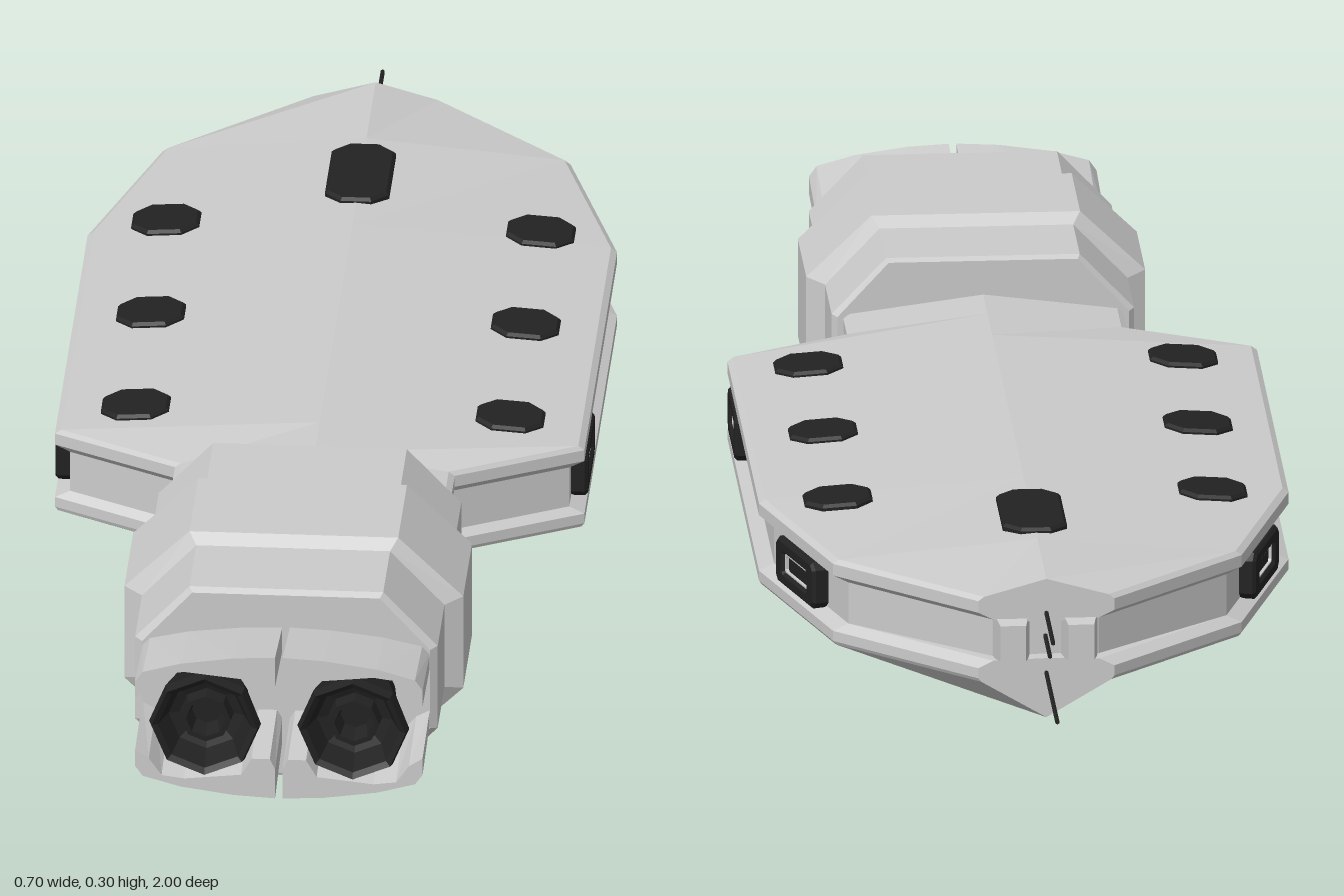
import * as THREE from 'three';

const grey = new THREE.MeshStandardMaterial({ color: 0xcccccc, flatShading: true, side: THREE.DoubleSide });
const black = new THREE.MeshStandardMaterial({ color: 0x222222, flatShading: true, side: THREE.DoubleSide });

function add(parent, name, geometry, material = grey) {
  const mesh = new THREE.Mesh(geometry, material);
  mesh.name = name;
  parent.add(mesh);
  return mesh;
}

// Skin a row of counter-clockwise rings [{ z, ring: [[x, y], ...] }] and cap both ends.
function loft(sections) {
  const n = sections[0].ring.length, pos = [], idx = [];
  for (const { z, ring } of sections) for (const [x, y] of ring) pos.push(x, y, z);
  for (let s = 0; s < sections.length - 1; s++)
    for (let i = 0; i < n; i++) {
      const a = s * n + i, b = s * n + (i + 1) % n;
      idx.push(a, b, b + n, a, b + n, a + n);
    }
  const last = (sections.length - 1) * n;
  const cap = (ring) => THREE.ShapeUtils.triangulateShape(ring.map(p => new THREE.Vector2(...p)), []);
  for (const [a, b, c] of cap(sections[0].ring)) idx.push(a, c, b);
  for (const [a, b, c] of cap(sections.at(-1).ring)) idx.push(last + a, last + b, last + c);
  const g = new THREE.BufferGeometry();
  g.setAttribute('position', new THREE.Float32BufferAttribute(pos, 3));
  g.setIndex(idx);
  const flat = g.toNonIndexed();
  flat.computeVertexNormals();
  return flat;
}

// Right half of a ring, bottom to top, completed by its mirror image.
const mirrored = (half) => [...half, ...half.filter(p => p[0] > 0).reverse().map(([x, y]) => [-x, y])];

// Rectangle with cut corners.
function cutRect(w, h, c, Type = THREE.Shape) {
  const x = w / 2, y = h / 2;
  return new Type([[x, y - c], [x - c, y], [c - x, y], [-x, y - c], [-x, c - y], [c - x, -y], [x - c, -y], [x, c - y]]
    .map(p => new THREE.Vector2(...p)));
}
function pad(w, h, c, depth, bevel) {
  return new THREE.ExtrudeGeometry(cutRect(w - 2 * bevel, h - 2 * bevel, c), {
    depth: depth - bevel, bevelEnabled: true, bevelThickness: bevel, bevelSize: bevel, bevelSegments: 1
  });
}

function buildHull(root) {
  const plan = [[-0.79, 0.09], [-0.62, 0.27], [-0.36, 0.35], [0.24, 0.35], [0.33, 0.185], [0.44, 0.185]];
  const along = (ringAt, noseZ) => loft(plan.map(([z, w], i) => ({ z: i ? z : noseZ, ring: mirrored(ringAt(w)) })));
  add(root, 'deckPlate', along(w => [[0, 0.175], [w - 0.02, 0.18], [w, 0.19], [w, 0.206], [w - 0.008, 0.212], [0, 0.235]], -0.79));
  add(root, 'hullWall', along(w => [[0, 0.11], [w - 0.02, 0.11], [w - 0.02, 0.195], [0, 0.195]], -0.77));
  add(root, 'keelPlate', along(w => [[0, 0.043], [w - 0.004, 0.094], [w, 0.099], [w, 0.113], [w - 0.02, 0.123], [0, 0.125]], -0.79));
}

function buildCollar(root) {
  // t = 0 is the narrow sleeve, t = 1 the raised band
  const ring = (t) => {
    const w = 0.2 + 0.024 * t, h = 0.136 + 0.014 * t, fx = 0.128 + 0.01 * t, fy = 0.06 + 0.007 * t;
    return [[w, -fy], [w, fy], [fx, h], [-fx, h], [-w, fy], [-w, -fy], [-fx, -h], [fx, -h]].map(([x, y]) => [x, y + 0.15]);
  };
  add(root, 'engineCollar', loft([[0.41, -0.3], [0.418, 0], [0.542, 0], [0.555, 1], [0.715, 1], [0.728, 0], [0.852, 0], [0.86, -0.4]]
    .map(([z, t]) => ({ z, ring: ring(t) }))));
}

function buildEngine(side) {
  // Flared eight-sided nozzle with a stepped throat
  const profile = [[0.045, 0.85], [0.05, 0.89], [0.074, 0.985], [0.07, 1], [0.062, 0.995], [0.05, 0.96],
    [0.036, 0.955], [0.033, 0.975], [0.026, 0.975], [0.02, 0.945], [0, 0.945]];
  const nozzle = new THREE.LatheGeometry(profile.map(p => new THREE.Vector2(...p)), 8);
  nozzle.rotateX(Math.PI / 2);
  add(side, 'nozzle', nozzle, black).position.set(0.098, 0.152, 0);

  // Flaps above and below the nozzle, opening toward their ends
  const outline = [[0.005, 0.103], [0.06, 0.1], [0.13, 0.09], [0.18, 0.076], [0.19, 0.062], [0.19, 0.038], [0.172, 0.05],
    [0.155, 0.074], [0.125, 0.078], [0.05, 0.07], [0.036, 0.046], [0.012, 0.046], [0.005, 0.06]];
  for (const up of [1, -1]) {
    const ringAt = (k) => {
      const r = outline.map(([x, y]) => [x, 0.15 + up * y * k]);
      return up > 0 ? r.reverse() : r;
    };
    add(side, up > 0 ? 'upperFlap' : 'lowerFlap',
      loft([{ z: 0.85, ring: ringAt(0.8) }, { z: 0.992, ring: ringAt(1) }]));
  }
}

function buildSideWindow(side, x, z, angle) {
  const g = new THREE.Group();
  g.name = 'sideWindow';
  g.position.set(x, 0.153, z);
  g.rotation.y = angle;
  const frame = cutRect(0.132, 0.056, 0.007);
  frame.holes.push(cutRect(0.092, 0.034, 0.004, THREE.Path));
  add(g, 'windowFrame', new THREE.ExtrudeGeometry(frame, {
    depth: 0.018, bevelEnabled: true, bevelThickness: 0.004, bevelSize: 0.004, bevelSegments: 1
  }), black);
  const rim = cutRect(0.086, 0.03, 0.004);
  rim.holes.push(cutRect(0.078, 0.022, 0.003, THREE.Path));
  add(g, 'windowRim', new THREE.ExtrudeGeometry(rim, { depth: 0.018, bevelEnabled: false }));
  add(g, 'windowPane', new THREE.BoxGeometry(0.1, 0.042, 0.014), black).position.z = 0.007;
  side.add(g);
}

export function createModel() {
  const root = new THREE.Group();
  root.name = 'spacecraft';
  buildHull(root);
  buildCollar(root);

  for (const s of [1, -1]) {
    const side = new THREE.Group();
    side.name = s > 0 ? 'leftSide' : 'rightSide';
    side.scale.x = s;
    root.add(side);
    buildEngine(side);
    buildSideWindow(side, 0.33, 0.14, Math.PI / 2);
    buildSideWindow(side, 0.292, -0.485, Math.PI / 2 + 0.298);

    // Deck hatches, lying on the sloping deck
    for (const z of [-0.385, -0.105, 0.175]) {
      const hatch = add(side, 'deckHatch', pad(0.09, 0.085, 0.02, 0.016, 0.004).rotateX(-Math.PI / 2), black);
      hatch.position.set(0.247, 0.209, z);
      hatch.rotation.z = -0.066;
    }

    // Tapered sensor block on the nose
    const block = (k) => [[0.07 - k, 0.12 + k], [0.07 - k, 0.185 - k], [0.02 + k, 0.185 - k], [0.02 + k, 0.12 + k]];
    add(side, 'noseBlock', loft([{ z: -0.81, ring: block(0.008) }, { z: -0.765, ring: block(0) }]));
  }

  add(root, 'centreHatch', pad(0.085, 0.17, 0.02, 0.02, 0.004).rotateX(-Math.PI / 2), black).position.set(0, 0.221, -0.51);

  // Nose antennas of different lengths
  for (const [y, tip] of [[0.105, -1], [0.15, -0.86], [0.188, -0.92]]) {
    const length = -0.77 - tip;
    add(root, 'antenna', new THREE.CylinderGeometry(0.003, 0.003, length, 6).rotateX(Math.PI / 2), black)
      .position.set(0, y, tip + length / 2);
  }
  return root;
}
